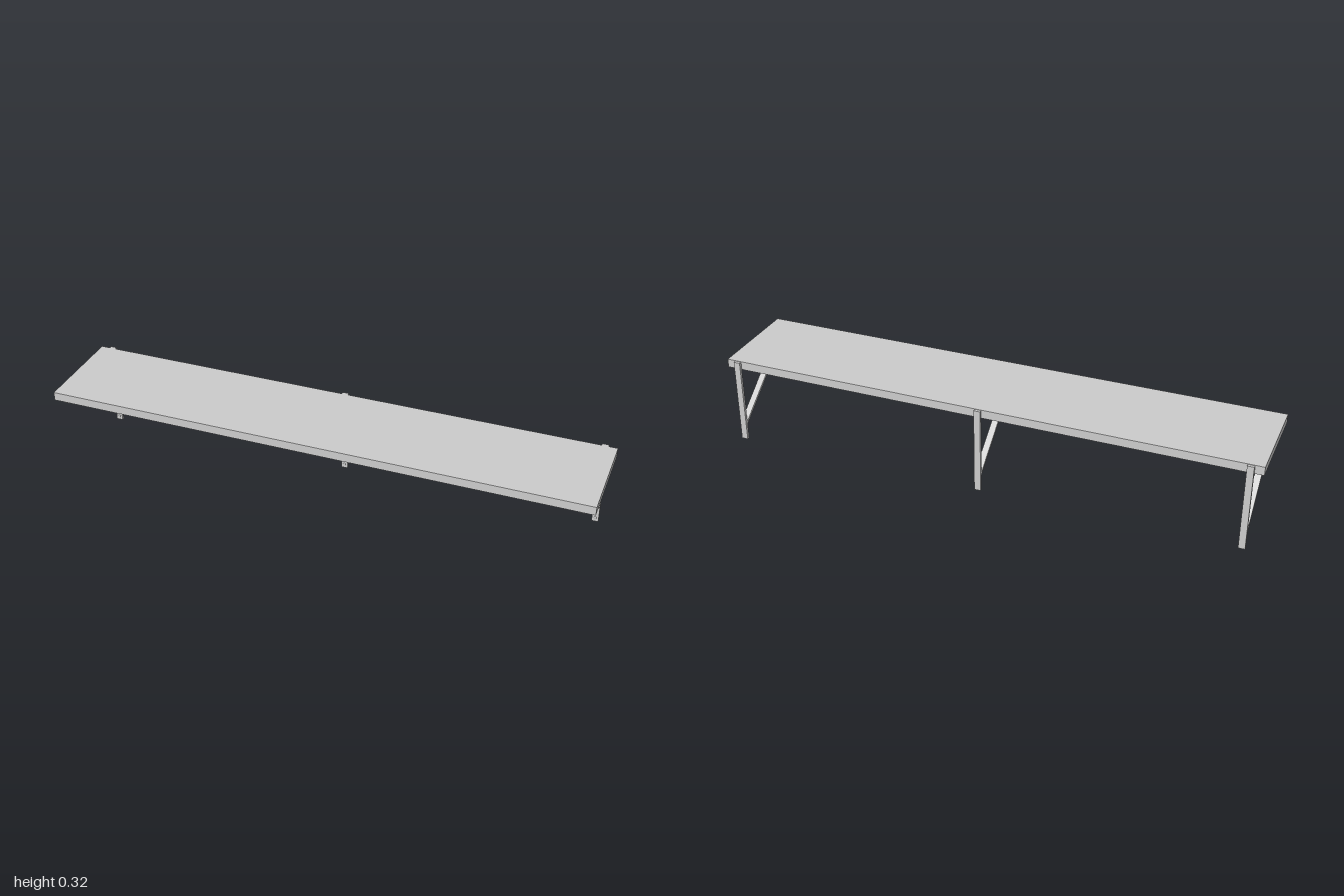
import * as THREE from 'three';

const material = new THREE.MeshStandardMaterial({ color: 0xcccccc });

function addPart(parent, name, geometry, x, y, z) {
  const mesh = new THREE.Mesh(geometry, material);
  mesh.name = name;
  mesh.position.set(x, y, z);
  parent.add(mesh);
  return mesh;
}

// Bent strip: a short flat pad under the board, then a diagonal to the post
function braceGeometry(width) {
  const outline = [
    [0.18, 0.293], [0.108, 0.293], [-0.177, 0.073],
    [-0.177, 0.061], [0.112, 0.284], [0.18, 0.284],
  ].map(([z, y]) => new THREE.Vector2(z, y));
  const geometry = new THREE.ExtrudeGeometry(new THREE.Shape(outline), { depth: width, bevelEnabled: false });
  return geometry.translate(0, 0, -width / 2).rotateY(-Math.PI / 2);
}

export function createModel() {
  const model = new THREE.Group();
  model.name = 'wallShelf';

  // Board
  addPart(model, 'board', new THREE.BoxGeometry(2, 0.032, 0.366), 0, 0.309, 0.007);

  // Brackets: wall post, brace and two domed screw heads each
  const post = new THREE.BoxGeometry(0.024, 0.324, 0.011);
  const brace = braceGeometry(0.024);
  const screw = new THREE.SphereGeometry(0.005, 16, 6, 0, Math.PI * 2, 0, Math.PI / 2)
    .rotateX(Math.PI / 2)
    .scale(1, 1, 0.7);

  for (const x of [-0.955, 0, 0.955]) {
    const bracket = new THREE.Group();
    bracket.name = 'bracket';
    bracket.position.x = x;
    addPart(bracket, 'wallPost', post, 0, 0.162, -0.1825);
    addPart(bracket, 'brace', brace, 0, 0, 0);
    for (const y of [0.015, 0.286]) addPart(bracket, 'screwHead', screw, 0, y, -0.177);
    model.add(bracket);
  }
  return model;
}
